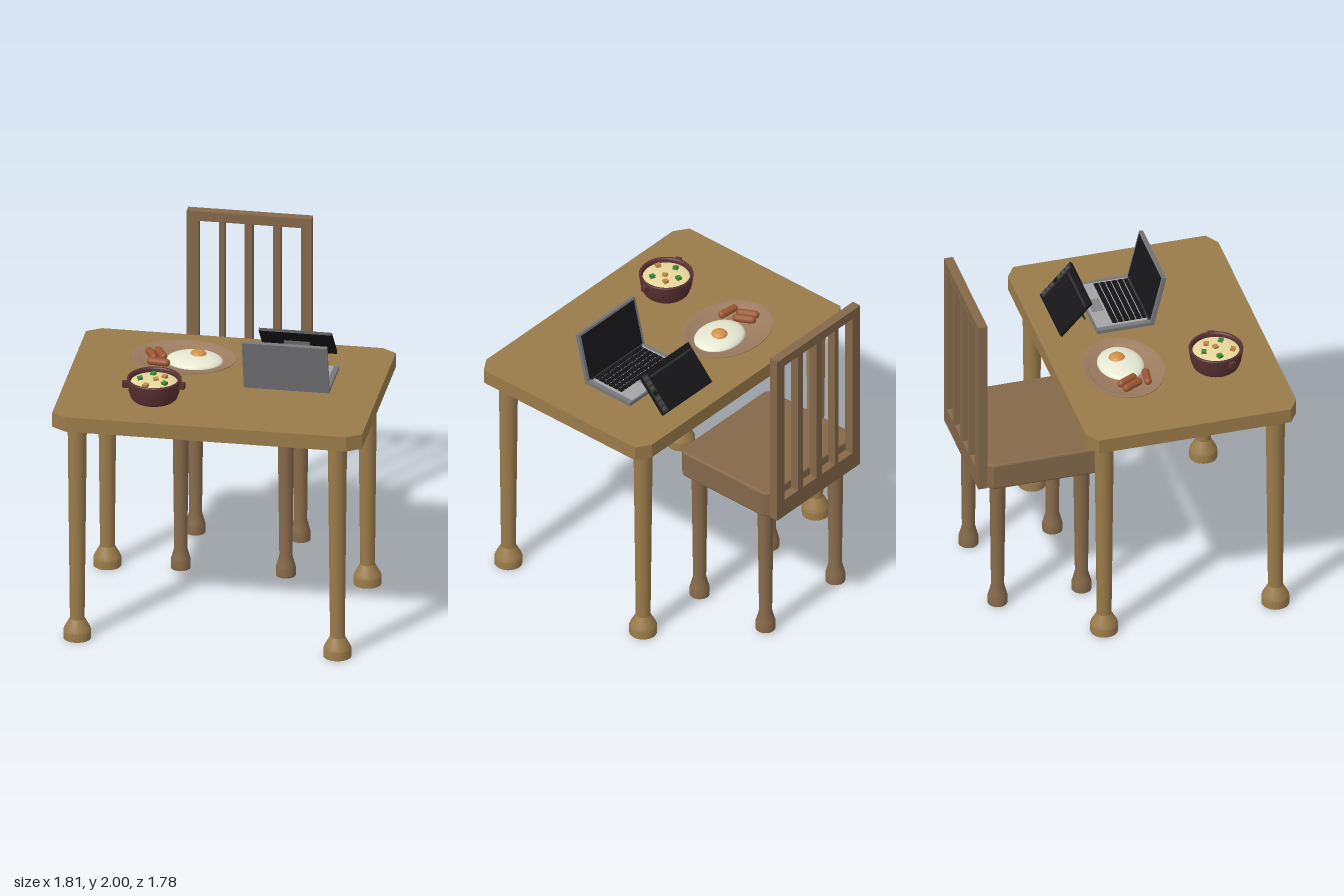
import * as THREE from 'three';
import { toCreasedNormals } from 'three/addons/utils/BufferGeometryUtils.js';

const COLORS = {
  table: 0x9a7b4a, chair: 0x84684a, plate: 0x9c7c60, eggWhite: 0xe6e8d2, yolk: 0xd08f45,
  sausage: 0x9a5530, bowl: 0x5a3032, soup: 0xe8d89c, herb: 0x3f8a3a, crouton: 0xc08a45,
  metal: 0x77777a, deck: 0xa4a4a6, pad: 0x858588, black: 0x161618, dark: 0x303033, button: 0x48484c,
};
const materials = {};
for (const [k, color] of Object.entries(COLORS)) materials[k] = new THREE.MeshStandardMaterial({ color });

function add(parent, name, geo, mat, x = 0, y = 0, z = 0) {
  const mesh = new THREE.Mesh(geo, materials[mat]);
  mesh.name = name;
  mesh.position.set(x, y, z);
  parent.add(mesh);
  return mesh;
}

function group(parent, name, x = 0, y = 0, z = 0) {
  const g = new THREE.Group();
  g.name = name;
  g.position.set(x, y, z);
  parent.add(g);
  return g;
}

const box = (parent, name, mat, w, h, d, x, y, z) =>
  add(parent, name, new THREE.BoxGeometry(w, h, d), mat, x, y, z);

const lathe = (pts, sides) =>
  toCreasedNormals(new THREE.LatheGeometry(pts.map(p => new THREE.Vector2(...p)), sides), 0.45);

// Horizontal slab with cut corners, standing on y = 0
function slab(w, d, h, cx, cz, bevel = 0) {
  const a = w / 2 - bevel, b = d / 2 - bevel;
  const corners = [[a, -b + cz], [a, b - cz], [a - cx, b], [-a + cx, b],
    [-a, b - cz], [-a, -b + cz], [-a + cx, -b], [a - cx, -b]];
  const geo = new THREE.ExtrudeGeometry(new THREE.Shape(corners.map(c => new THREE.Vector2(...c))), {
    depth: h - 2 * bevel, bevelEnabled: bevel > 0, bevelSize: bevel, bevelThickness: bevel, bevelSegments: 2,
  });
  return geo.translate(0, 0, bevel).rotateX(-Math.PI / 2);
}

// Tapered round leg with a flared foot
const legGeometry = (h, foot, ankle, top) => lathe(
  [[0, 0], [foot, 0], [foot, 0.05], [foot * 0.9, 0.07], [ankle, 0.125], [top, h], [0, h]], 20);

function buildTable(root) {
  const table = group(root, 'table');
  add(table, 'tableTop', slab(1.81, 1.26, 0.09, 0.085, 0.055), 'table', 0, 1.345, 0.26);
  const leg = legGeometry(1.345, 0.081, 0.043, 0.056);
  for (const x of [-0.768, 0.752])
    for (const z of [0.78, -0.245]) add(table, 'tableLeg', leg, 'table', x, 0, z);
}

function buildChair(root) {
  const chair = group(root, 'chair');
  add(chair, 'seat', slab(0.785, 0.675, 0.17, 0.022, 0.025, 0.012), 'chair', -0.044, 0.866, -0.505);
  const leg = legGeometry(0.87, 0.058, 0.038, 0.047);
  for (const x of [-0.342, 0.272])
    for (const z of [-0.26, -0.762]) add(chair, 'chairLeg', leg, 'chair', x, 0.01, z);

  // Backrest frame cut with four openings, leaving three slats
  const rect = (P, x0, x1, y0, y1) => {
    const p = new P();
    p.moveTo(x0, y0).lineTo(x1, y0).lineTo(x1, y1).lineTo(x0, y1).closePath();
    return p;
  };
  const frame = rect(THREE.Shape, -0.407, 0.323, 0.866, 2);
  for (const [x0, x1] of [[-0.338, -0.218], [-0.187, -0.07], [-0.024, 0.098], [0.14, 0.26]])
    frame.holes.push(rect(THREE.Path, x0, x1, 0.98, 1.94));
  add(chair, 'backrest', new THREE.ExtrudeGeometry(frame, { depth: 0.055, bevelEnabled: false }),
    'chair', 0, 0, -0.895);
}

function buildBreakfast(root) {
  const meal = group(root, 'breakfastPlate', -0.278, 1.435, 0.008);
  const plate = add(meal, 'plate', lathe([[0, 0], [0.76, 0], [1, 0.026], [1, 0.031], [0.96, 0.031],
    [0.83, 0.017], [0.79, 0.012], [0, 0.012]], 48), 'plate');
  plate.scale.set(0.305, 1, 0.236);

  // Fried egg
  const dome = new THREE.SphereGeometry(1, 32, 12, 0, Math.PI * 2, 0, Math.PI / 2);
  add(meal, 'eggWhite', dome, 'eggWhite', 0.062, 0.01, 0.002).scale.set(0.167, 0.044, 0.134);
  add(meal, 'eggYolk', dome, 'yolk', 0.082, 0.043, -0.014).scale.set(0.049, 0.03, 0.049);

  // Sausages: centre x, z and heading
  const sausage = new THREE.CapsuleGeometry(0.023, 0.092, 6, 12).rotateZ(Math.PI / 2);
  for (const [x, z, turn] of [[-0.188, 0.003, -1.09], [-0.137, -0.015, -1.07], [-0.13, 0.104, -0.12]])
    add(meal, 'sausage', sausage, 'sausage', x, 0.035, z).rotation.y = turn;
}

function buildSoup(root) {
  const soup = group(root, 'soupBowl', -0.36, 1.435, 0.54);
  add(soup, 'bowl', lathe([[0, 0], [0.122, 0], [0.134, 0.012], [0.147, 0.05], [0.154, 0.095], [0.158, 0.125],
    [0.154, 0.131], [0.145, 0.13], [0.139, 0.122], [0.136, 0.1], [0, 0.09]], 40), 'bowl');
  const surface = new THREE.SphereGeometry(1, 32, 8, 0, Math.PI * 2, 0, Math.PI / 2);
  add(soup, 'soup', surface, 'soup', 0, 0.1, 0).scale.set(0.14, 0.018, 0.14);
  for (const [x, z, turn] of [[-0.158, 0.05, 0.3], [0.162, 0.018, -0.11]])
    box(soup, 'bowlHandle', 'bowl', 0.04, 0.035, 0.035, x, 0.1, z).rotation.y = turn;

  // Floating pieces
  const pieces = {
    herb: [[-0.018, -0.077], [-0.082, 0], [0.068, 0.048]],
    crouton: [[0.055, -0.043], [0.011, 0], [-0.034, 0.092]],
  };
  for (const [kind, spots] of Object.entries(pieces))
    spots.forEach(([x, z], i) => {
      box(soup, kind, kind, 0.029, 0.024, 0.029, x, 0.118, z).rotation.set(0.1, i * 0.7 - 0.3, 0.1);
    });
}

function buildLaptop(root) {
  const laptop = group(root, 'laptop', 0.373, 1.435, 0);
  box(laptop, 'laptopBase', 'metal', 0.498, 0.022, 0.335, 0, 0.011, 0.135);
  box(laptop, 'laptopDeck', 'deck', 0.44, 0.004, 0.3, 0, 0.023, 0.125);
  box(laptop, 'touchpad', 'pad', 0.122, 0.003, 0.07, 0, 0.026, 0.026);

  // Keyboard rows, alternately offset
  for (let row = 0; row < 5; row++) {
    const n = 12 + (row % 2), pitch = 0.41 / n;
    for (let i = 0; i < n; i++)
      box(laptop, 'key', 'black', pitch - 0.007, 0.009, 0.028, -0.205 + pitch * (i + 0.5), 0.028, 0.087 + row * 0.036);
  }
  box(laptop, 'spaceBar', 'black', 0.4, 0.009, 0.022, 0, 0.028, 0.264);

  // Lid leaning outward from the hinge
  const lid = group(laptop, 'laptopLid', 0, 0.004, 0.296);
  lid.rotation.x = 0.235;
  box(lid, 'lidShell', 'metal', 0.498, 0.322, 0.024, 0, 0.161, 0);
  box(lid, 'laptopScreen', 'black', 0.462, 0.285, 0.004, 0, 0.165, -0.0125);
  const hinge = new THREE.CylinderGeometry(0.011, 0.011, 0.44, 12).rotateZ(Math.PI / 2);
  add(laptop, 'hinge', hinge, 'dark', 0, 0.018, 0.29);
}

function buildTablet(root) {
  const stand = group(root, 'tabletOnStand', 0.361, 1.437, -0.243);
  const tablet = group(stand, 'tablet', 0, 0.008, 0);
  tablet.rotation.x = 0.746;
  box(tablet, 'tabletBody', 'black', 0.426, 0.268, 0.018, 0, 0.134, 0);
  box(tablet, 'tabletScreen', 'black', 0.36, 0.2, 0.004, -0.026, 0.118, -0.01);
  box(tablet, 'tabletTopStrip', 'dark', 0.36, 0.012, 0.005, -0.026, 0.228, -0.01);
  box(tablet, 'buttonStrip', 'dark', 0.044, 0.25, 0.004, 0.188, 0.134, -0.01);
  for (let i = 0; i < 7; i++)
    box(tablet, 'tabletButton', i === 3 ? 'black' : 'button', 0.028, 0.022, 0.008, 0.188, 0.032 + i * 0.034, -0.012);

  // Prop leg behind the tablet
  const prop = box(stand, 'propLeg', 'dark', 0.15, 0.135, 0.01, 0, 0.058, 0.152);
  prop.rotation.x = -0.5;
}

export function createModel() {
  const model = new THREE.Group();
  model.name = 'breakfastTable';
  for (const build of [buildTable, buildChair, buildBreakfast, buildSoup, buildLaptop, buildTablet]) build(model);
  return model;
}
